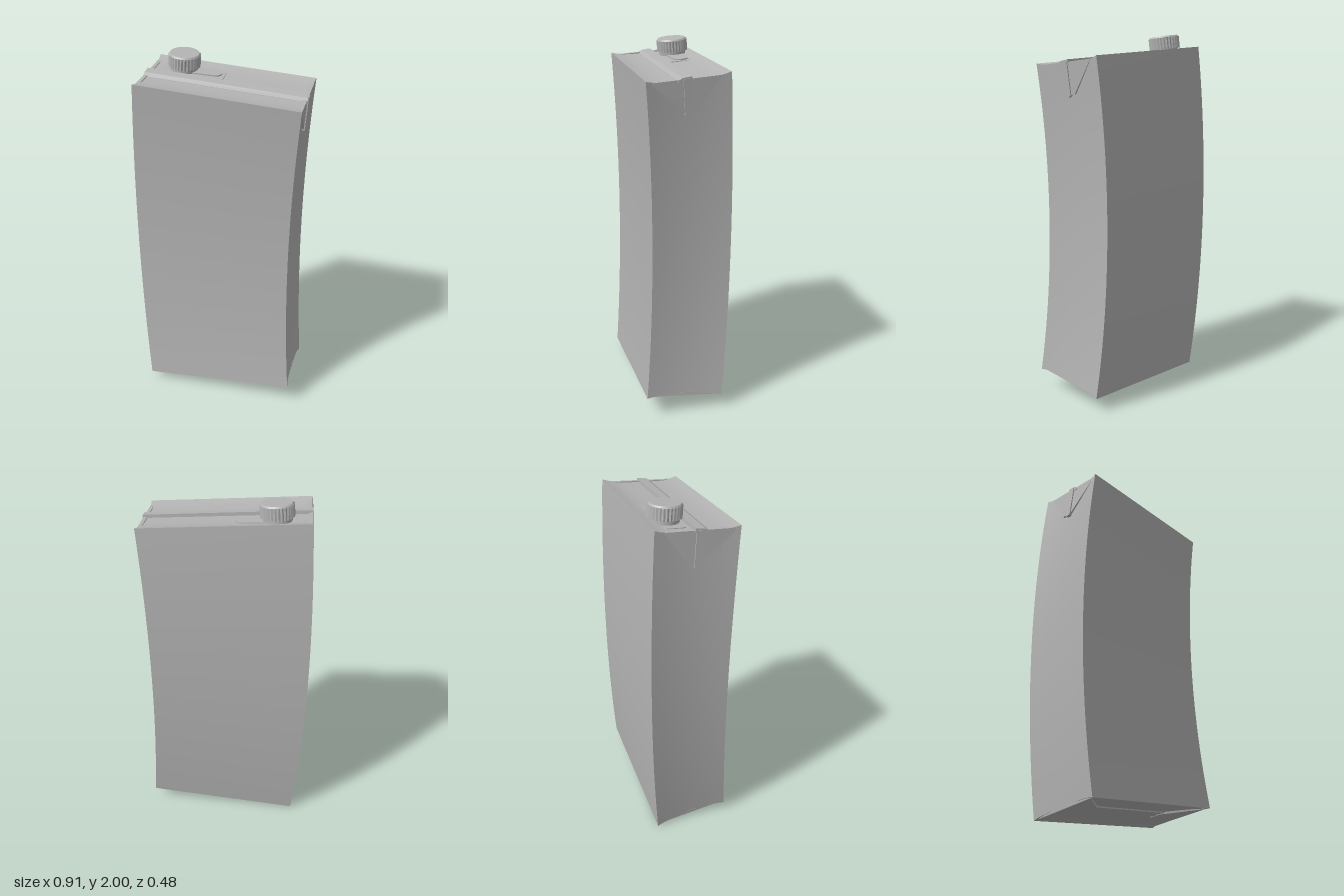
import * as THREE from 'three';

const W = 0.43, D = 0.215, H = 1.836; // half width, half depth, height of the straight carton
const card = new THREE.MeshStandardMaterial({ color: 0xb4b4b4 });
card.name = 'grey card';

// Bends the straight carton and tilts its two ends
function bend(geometry) {
  const p = geometry.attributes.position;
  for (let i = 0; i < p.count; i++) {
    const v = p.getY(i) / H, t = 2 * v - 1;
    const shift = -0.0225 + 0.04 * t * t - 0.005 * t;
    const x = p.getX(i) + shift, z = p.getZ(i) + shift;
    const low = 0.06 + 0.0875 * x + 0.11 * z;
    const high = 1.896 - 0.072 * x - 0.085 * z;
    p.setXYZ(i, x, low + (high - low) * v, z);
  }
  geometry.computeVertexNormals();
  return geometry;
}

function part(name, geometry) {
  const mesh = new THREE.Mesh(bend(geometry), card);
  mesh.name = name;
  return mesh;
}

const polygon = (points) => new THREE.Shape(points.map(([a, b]) => new THREE.Vector2(a, b)));
const extrude = (shape, depth) =>
  new THREE.ExtrudeGeometry(shape, { depth, bevelEnabled: false, curveSegments: 10 });
// Outline in (x, -z), thickness upwards from y
const lying = (shape, y, depth) => extrude(shape, depth).rotateX(-Math.PI / 2).translate(0, y, 0);
// Outline in (-z, y), thickness along x
const upright = (points, x, depth) => extrude(polygon(points), depth).rotateY(Math.PI / 2).translate(x, 0, 0);

function roundedRect(x0, y0, x1, y1, r) {
  const s = new THREE.Shape();
  s.absarc(x1 - r, y1 - r, r, 0, Math.PI / 2);
  s.absarc(x0 + r, y1 - r, r, Math.PI / 2, Math.PI);
  s.absarc(x0 + r, y0 + r, r, Math.PI, Math.PI * 1.5);
  s.absarc(x1 - r, y0 + r, r, Math.PI * 1.5, Math.PI * 2);
  return s;
}

// Box with slightly sunken top, bottom and narrow sides
function cartonBody() {
  const g = new THREE.BoxGeometry(2 * W, H, 2 * D, 12, 40, 12).translate(0, H / 2, 0);
  const p = g.attributes.position;
  for (let i = 0; i < p.count; i++) {
    const x = p.getX(i), y = p.getY(i), t = p.getZ(i) / D;
    const dip = 1 - t ** 4;
    const v = y / H;
    p.setX(i, x * (1 - 0.03 * (1 - t * t)));
    p.setY(i, y + dip * (0.015 * (1 - v) - 0.018 * v));
  }
  return g;
}

export function createModel() {
  const carton = new THREE.Group();
  carton.name = 'carton';
  carton.add(part('body', cartonBody()));

  // Folded seams across the top and the bottom
  carton.add(part('topSeam', upright(
    [[0.015, H - 0.03], [0.015, H], [-0.035, H - 0.004], [-0.057, H - 0.017], [-0.057, H - 0.03]], -W, 2 * W)));
  carton.add(part('bottomSeam', upright(
    [[0.015, 0.03], [-0.05, 0.03], [-0.05, 0.008], [0.015, 0.004]], -W + 0.015, 2 * W - 0.03)));

  for (const side of [1, -1]) {
    const name = side > 0 ? 'left' : 'right';
    // Triangular ear folded down the narrow side, with its seam strip
    carton.add(part(name + 'Ear', upright(
      [[-0.2, H - 0.012], [-0.03, H - 0.185], [0.035, H - 0.185], [0.17, H - 0.012]],
      side > 0 ? 0.408 : -0.427, 0.019)));
    carton.add(part(name + 'EarSeam', upright(
      [[-0.03, H - 0.01], [-0.03, H - 0.195], [-0.005, H - 0.2], [0.01, H - 0.19], [0.01, H - 0.01]],
      side > 0 ? 0.41 : -0.433, 0.023)));
    // Triangular ear folded under the bottom
    const ear = [[W - 0.012, -0.19], [W - 0.012, 0.19], [0.22, 0.03], [0.22, -0.03]];
    carton.add(part(name + 'BottomEar', lying(polygon(ear.map(([a, b]) => [side * a, b])), 0.003, 0.02)));
  }

  // Opening: embossed pad, pull tab, neck and ribbed screw cap
  const cx = -0.258, cz = -0.105;
  carton.add(part('spoutPad', lying(roundedRect(-0.37, 0.03, -0.033, 0.195, 0.025), H - 0.03, 0.016)));
  const tab = new THREE.Shape();
  tab.moveTo(cx, 0.055);
  tab.lineTo(-0.09, 0.065);
  tab.absarc(-0.09, 0.105, 0.04, -Math.PI / 2, Math.PI / 2);
  tab.lineTo(cx, 0.155);
  carton.add(part('pullTab', lying(tab, H - 0.02, 0.012)));
  carton.add(part('neck', new THREE.CylinderGeometry(0.073, 0.073, 0.04, 32).translate(cx, H - 0.006, cz)));

  const teeth = 30, ribs = [];
  for (let i = 0; i < teeth * 2; i++) {
    const a = (i * Math.PI) / teeth, r = i % 2 ? 0.081 : 0.0855;
    ribs.push([cx + r * Math.cos(a), -cz + r * Math.sin(a)]);
  }
  carton.add(part('cap', lying(polygon(ribs), H + 0.006, 0.06)));
  carton.add(part('capTop', new THREE.CylinderGeometry(0.077, 0.083, 0.008, 40).translate(cx, H + 0.07, cz)));
  return carton;
}
